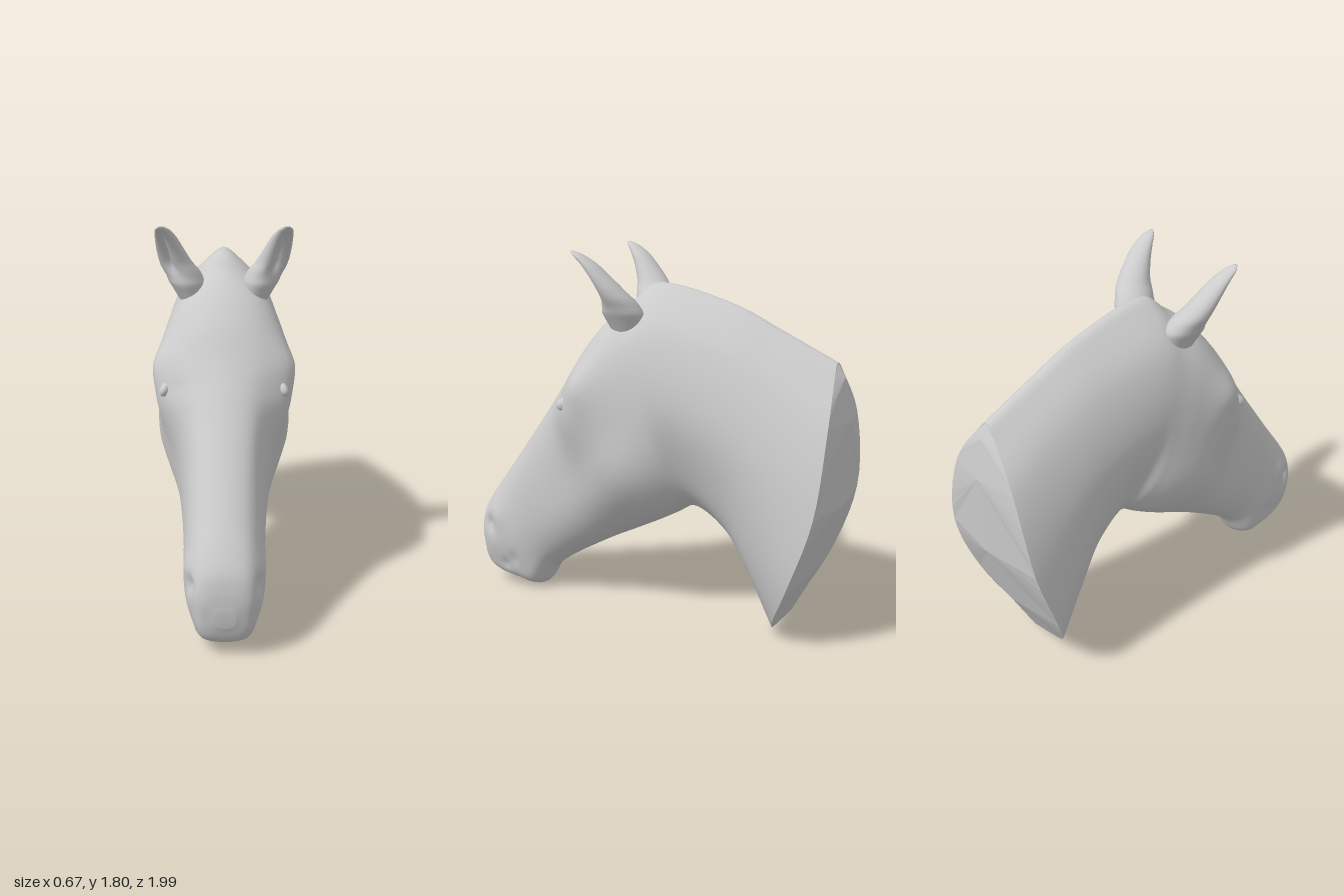
import * as THREE from 'three';

const grey = () => new THREE.MeshStandardMaterial({ color: 0xcccccc });

// Fractions from the top line to the underside where half-widths are given
const LEVELS = [0, 0.05, 0.2, 0.5, 0.76, 0.93, 1];

// Stations, muzzle to neck: top z,y, underside z,y, then half-widths
const STATIONS = [
  [1.0, 0.25, 0.99, 0.17, 0.025, 0.04, 0.045, 0.04, 0.025],
  [0.997, 0.34, 0.95, 0.085, 0.07, 0.105, 0.115, 0.11, 0.085],
  [0.98, 0.42, 0.87, 0.05, 0.09, 0.135, 0.15, 0.135, 0.11],
  [0.93, 0.51, 0.76, 0.03, 0.1, 0.15, 0.175, 0.155, 0.125],
  [0.85, 0.625, 0.66, 0.01, 0.1, 0.16, 0.185, 0.16, 0.12],
  [0.77, 0.735, 0.57, 0.13, 0.1, 0.16, 0.185, 0.165, 0.11],
  [0.54, 1.05, 0.28, 0.31, 0.13, 0.195, 0.215, 0.2, 0.12],
  [0.42, 1.215, 0.1, 0.4, 0.175, 0.3, 0.275, 0.245, 0.14],
  [0.32, 1.37, -0.03, 0.465, 0.175, 0.31, 0.31, 0.275, 0.16],
  [0.2, 1.5, -0.13, 0.52, 0.165, 0.275, 0.305, 0.275, 0.16],
  [0.1, 1.575, -0.21, 0.565, 0.13, 0.245, 0.29, 0.25, 0.14],
  [0, 1.65, -0.27, 0.55, 0.09, 0.22, 0.28, 0.21, 0.11],
  [-0.4, 1.575, -0.42, 0.44, 0.07, 0.19, 0.27, 0.22, 0.13],
  [-0.65, 1.465, -0.52, 0.28, 0.07, 0.19, 0.285, 0.26, 0.16],
  [-0.92, 1.34, -0.65, 0.01, 0.07, 0.21, 0.32, 0.315, 0.18],
];

// Surface details: y, z, radius, sideways offset
const DETAILS = [
  [1.17, 0.3, 0.08, 0.022],    // brow
  [1.09, 0.42, 0.045, -0.01],  // eye socket
  [0.34, 0.91, 0.035, -0.025], // nostril
  [0.4, 0.86, 0.06, 0.012],    // nostril wing
  [0.13, 0.82, 0.025, -0.01],  // mouth line
  [0.17, 0.76, 0.025, -0.01],
  [0.75, 0.1, 0.16, 0.015],    // cheek
];

// Smooth skin over closed rings of equal length, optionally capped
function loft(rings, capStart, capEnd) {
  const n = rings[0].length;
  const pts = rings.flat();
  const index = [];
  for (let i = 0; i < rings.length - 1; i++) {
    for (let j = 0; j < n; j++) {
      const a = i * n + j, b = i * n + (j + 1) % n;
      index.push(a, b, a + n, b, b + n, a + n);
    }
  }
  const cap = (ring, start, flip) => {
    pts.push(ring.reduce((s, p) => s.add(p), new THREE.Vector3()).divideScalar(n));
    for (let j = 0; j < n; j++) {
      const a = start + j, b = start + (j + 1) % n;
      index.push(pts.length - 1, flip ? b : a, flip ? a : b);
    }
  };
  if (capStart) cap(rings[0], 0, true);
  if (capEnd) cap(rings[rings.length - 1], (rings.length - 1) * n, false);
  const g = new THREE.BufferGeometry().setFromPoints(pts);
  g.setIndex(index);
  g.computeVertexNormals();
  return g;
}

// Control ring of one station: top, +x side, underside, -x side
function stationRing([tz, ty, bz, by, ...widths]) {
  const bow = 0.15 * Math.max(0, (-0.25 - tz) / 0.67); // neck end bulges backward
  const half = LEVELS.map((u, k) => new THREE.Vector3(
    widths[k - 1] ?? 0,
    ty + (by - ty) * u,
    tz + (bz - tz) * u - bow * Math.sin(Math.PI * u)));
  const other = half.slice(1, -1).reverse().map(p => new THREE.Vector3(-p.x, p.y, p.z));
  return [...half, ...other];
}

function bodyRings(steps, around) {
  const controls = STATIONS.map(stationRing);
  const columns = controls[0].map((_, k) => new THREE.CatmullRomCurve3(controls.map(r => r[k])));
  const rings = [];
  for (let i = 0; i <= steps; i++) {
    const curve = new THREE.CatmullRomCurve3(columns.map(c => c.getPoint(i / steps)), true);
    const ring = [];
    for (let j = 0; j < around; j++) {
      const p = curve.getPoint(j / around);
      const side = THREE.MathUtils.clamp(p.x / 0.08, -1, 1);
      let push = 0;
      for (const [y, z, r, amount] of DETAILS) {
        push += amount * Math.exp(-((p.y - y) ** 2 + (p.z - z) ** 2) / (r * r));
      }
      p.x += side * push;
      ring.push(p);
    }
    rings.push(ring);
  }
  return rings;
}

// Faceted cut face with a slight ridge down the middle
function cutFace(rim, step) {
  const n = rim.length, half = n / 2, pos = [];
  const mid = i => new THREE.Vector3(0, rim[i].y,
    rim[i].z - 0.04 * Math.sqrt(Math.max(0, Math.sin(Math.PI * i / half))));
  const tri = (...p) => p.forEach(v => pos.push(v.x, v.y, v.z));
  const left = k => rim[k], right = k => rim[(n - k) % n];
  for (let i = 0; i < half; i += step) {
    const m = mid(i), next = mid(i + step);
    for (let k = i; k < i + step; k++) {
      tri(m, left(k), left(k + 1));
      tri(m, right(k + 1), right(k));
    }
    tri(m, left(i + step), next);
    tri(m, next, right(i + step));
  }
  const g = new THREE.BufferGeometry();
  g.setAttribute('position', new THREE.Float32BufferAttribute(pos, 3));
  g.computeVertexNormals();
  return g;
}

// Ear: leaning tapered rings, hollowed on the front outer side
function earGeometry(side) {
  // y, centre x, centre z, radius x, radius z, hollow
  const levels = [
    [1.4, 0.13, 0.08, 0.06, 0.07, 0],
    [1.5, 0.165, 0.09, 0.08, 0.1, 0],
    [1.56, 0.19, 0.105, 0.085, 0.098, 0.15],
    [1.62, 0.225, 0.135, 0.077, 0.082, 0.6],
    [1.69, 0.25, 0.18, 0.065, 0.062, 0.75],
    [1.755, 0.268, 0.23, 0.05, 0.045, 0.6],
    [1.795, 0.28, 0.275, 0.033, 0.028, 0.3],
    [1.812, 0.283, 0.3, 0.012, 0.01, 0],
  ];
  const centres = new THREE.CatmullRomCurve3(levels.map(l => new THREE.Vector3(l[1], l[0], l[2])));
  const sizes = new THREE.CatmullRomCurve3(levels.map(l => new THREE.Vector3(l[3], l[5], l[4])));
  const rings = [];
  for (let i = 0; i <= 28; i++) {
    const c = centres.getPoint(i / 28), s = sizes.getPoint(i / 28);
    const ring = [];
    for (let j = 0; j < 32; j++) {
      const a = -side * j / 32 * Math.PI * 2;
      const off = Math.atan2(Math.sin(a - 1.05), Math.cos(a - 1.05));
      const f = 1 - s.y * Math.exp(-((off / 0.6) ** 2));
      ring.push(new THREE.Vector3(side * (c.x + s.x * f * Math.cos(a)), c.y, c.z + s.z * f * Math.sin(a)));
    }
    rings.push(ring);
  }
  return loft(rings, false, true);
}

export function createModel() {
  const group = new THREE.Group();
  const add = (name, geometry, material = grey()) => {
    const mesh = new THREE.Mesh(geometry, material);
    mesh.name = name;
    group.add(mesh);
    return mesh;
  };

  // Head and neck in one skin
  const rings = bodyRings(112, 60);
  add('headAndNeck', loft(rings, true, false));

  const flat = grey();
  flat.flatShading = true;
  add('neckCutFace', cutFace(rings[rings.length - 1], 5), flat);

  for (const side of [1, -1]) {
    const label = side > 0 ? 'left' : 'right';
    add(label + 'Ear', earGeometry(side));

    // Eye set into the socket
    const eye = add(label + 'Eye', new THREE.SphereGeometry(0.04, 20, 14));
    eye.scale.set(0.6, 0.8, 1.1);
    eye.position.set(side * 0.268, 1.07, 0.365);
    eye.rotation.set(0.5, side * 0.5, 0);
  }
  return group;
}
